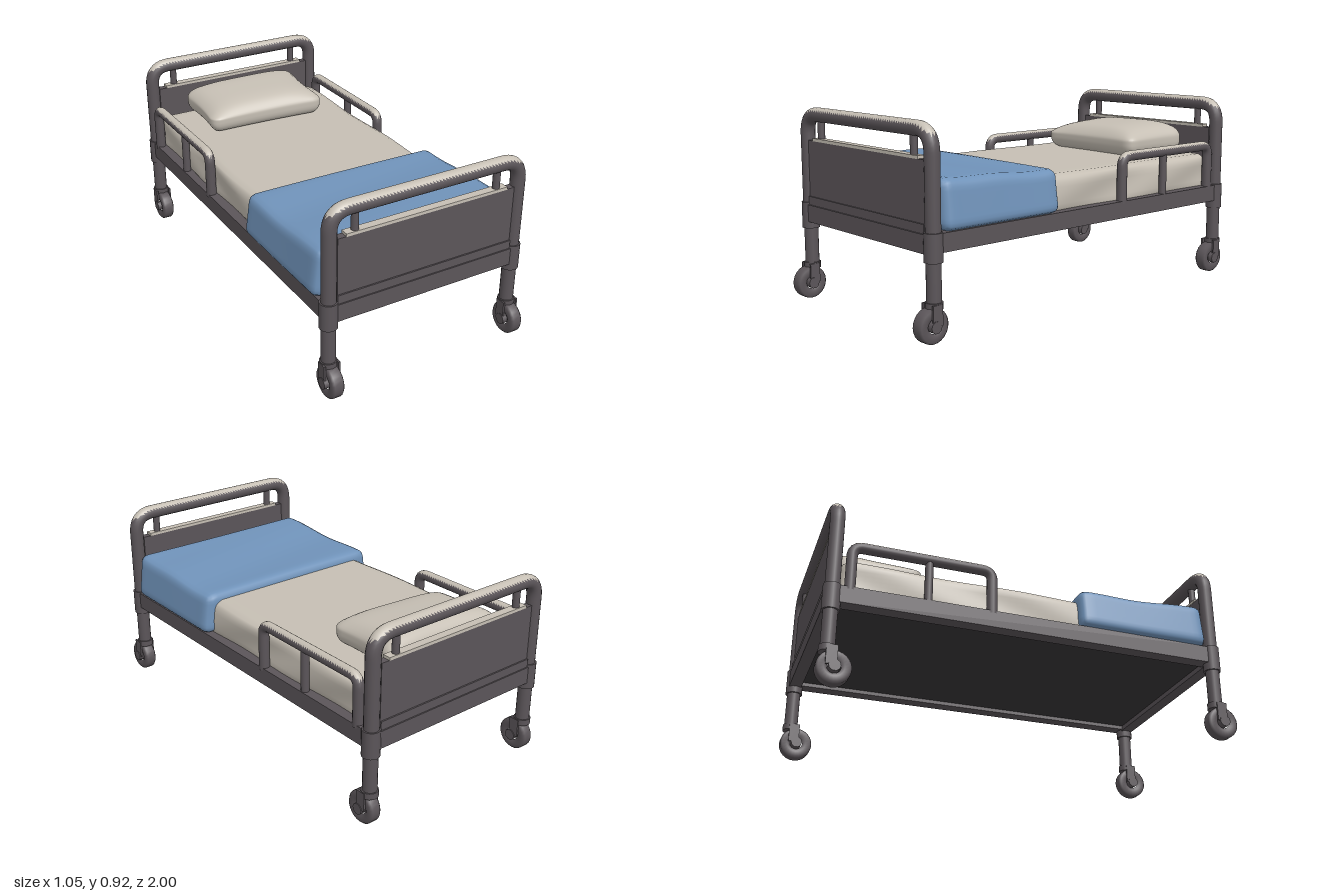
import * as THREE from 'three';
import { mergeVertices } from 'three/addons/utils/BufferGeometryUtils.js';

const mat = (name, color) => {
  const m = new THREE.MeshStandardMaterial({ color });
  m.name = name;
  return m;
};

// Rounded, evenly subdivided box whose vertices are then moved by a rule
function softBox(w, h, d, r, seg, rule) {
  let g = new THREE.BoxGeometry(w, h, d, ...seg);
  g.deleteAttribute('uv');
  g.deleteAttribute('normal');
  g = mergeVertices(g);
  const p = g.attributes.position, v = new THREE.Vector3();
  const lim = new THREE.Vector3(w / 2 - r, h / 2 - r, d / 2 - r), low = lim.clone().negate();
  for (let i = 0; i < p.count; i++) {
    v.fromBufferAttribute(p, i);
    const core = v.clone().clamp(low, lim);
    v.sub(core);
    if (v.lengthSq() > 0) v.setLength(r);
    v.add(core);
    rule(v);
    p.setXYZ(i, v.x, v.y, v.z);
  }
  g.clearGroups();
  g.computeVertexNormals();
  return g;
}

// Sort triangles into two material groups: upward-facing ones come second
function splitTop(g, threshold) {
  const n = g.attributes.normal, idx = g.index.array, side = [], top = [];
  for (let i = 0; i < idx.length; i += 3) {
    const t = [idx[i], idx[i + 1], idx[i + 2]];
    const up = t.reduce((s, k) => s + n.getY(k), 0) / 3;
    (up > threshold ? top : side).push(...t);
  }
  g.setIndex([...side, ...top]);
  g.clearGroups();
  g.addGroup(0, side.length, 0);
  g.addGroup(side.length, top.length, 1);
  return g;
}

// Upside-down U of tube; a and b are foot points, top is the centre height
function hoop(a, b, top, bend, r, segs) {
  const dir = b.clone().sub(a).normalize().multiplyScalar(bend);
  const up = (q, y) => new THREE.Vector3(q.x, y, q.z);
  const a1 = up(a, top - bend), a2 = up(a, top), a3 = a2.clone().add(dir);
  const b1 = up(b, top - bend), b2 = up(b, top), b3 = b2.clone().sub(dir);
  const path = new THREE.CurvePath();
  path.add(new THREE.LineCurve3(a, a1));
  path.add(new THREE.QuadraticBezierCurve3(a1, a2, a3));
  path.add(new THREE.LineCurve3(a3, b3));
  path.add(new THREE.QuadraticBezierCurve3(b3, b2, b1));
  path.add(new THREE.LineCurve3(b1, b));
  return splitTop(new THREE.TubeGeometry(path, segs, r, 16), 0.5);
}

export function createModel() {
  const bed = new THREE.Group();
  bed.name = 'hospitalBed';
  const frame = mat('dark grey frame', 0x5b5559);
  const under = mat('underside', 0x393638);
  const cream = mat('cream', 0xc6bfb4);
  const blue = mat('blue blanket', 0x7093ba);

  const add = (name, geo, material, x = 0, y = 0, z = 0, parent = bed) => {
    const m = new THREE.Mesh(geo, material);
    m.name = name;
    m.position.set(x, y, z);
    parent.add(m);
    return m;
  };
  const box = (w, h, d) => new THREE.BoxGeometry(w, h, d);
  const rod = (r, h, n = 16) => new THREE.CylinderGeometry(r, r, h, n);
  const V = (x, y, z) => new THREE.Vector3(x, y, z);

  // Wheel profile, turned about the axle
  const tyre = new THREE.LatheGeometry(
    [[0.03, -0.022], [0.045, -0.03], [0.068, -0.029], [0.077, -0.02], [0.077, 0.02],
      [0.068, 0.029], [0.045, 0.03], [0.03, 0.022]].map(([x, y]) => new THREE.Vector2(x, y)), 24);
  tyre.rotateZ(Math.PI / 2);
  const hub = rod(0.027, 0.088, 10).rotateZ(Math.PI / 2);

  // Head and foot ends
  for (const [end, z, wheelZ] of [['foot', 0.904, 0.923], ['head', -0.953, -0.923]]) {
    const g = new THREE.Group();
    g.name = end + 'End';
    bed.add(g);
    add('endRail', hoop(V(-0.481, 0.44, z), V(0.481, 0.44, z), 0.886, 0.095, 0.034, 110),
      [frame, cream], 0, 0, 0, g);
    add('endPanel', box(0.9, 0.27, 0.036), frame, 0, 0.628, z, g);
    add('panelTopEdge', box(0.82, 0.014, 0.04), cream, 0, 0.769, z, g);
    add('panelSill', box(0.9, 0.04, 0.05), frame, 0, 0.478, z, g);
    add('endBeam', box(0.92, 0.082, 0.06), frame, 0, 0.416, z, g);
    for (const s of [-1, 1]) {
      const x = s * 0.481;
      add('railSupport', rod(0.017, 0.1), frame, s * 0.36, 0.815, z, g);
      add('legCollar', rod(0.041, 0.125), frame, x, 0.405, z, g);
      add('leg', rod(0.033, 0.22), frame, x, 0.255, z, g);
      add('casterCap', rod(0.039, 0.03), frame, x, 0.16, z, g);
      add('casterWheel', tyre, frame, x, 0.077, wheelZ, g);
      add('casterHub', hub, frame, x, 0.077, wheelZ, g);
      for (const t of [-1, 1])
        add('casterFork', box(0.009, 0.09, 0.05), frame, x + t * 0.036, 0.125, (z + wheelZ) / 2, g);
    }
  }

  // Side beams, guard rails and base plate
  for (const s of [-1, 1]) {
    add('sideBeam', box(0.065, 0.082, 1.82), frame, s * 0.475, 0.422, -0.025);
    add('guardRail', hoop(V(s * 0.487, 0.45, -0.225), V(s * 0.487, 0.45, -0.878), 0.675, 0.05, 0.025, 70),
      [frame, cream]);
    add('guardPost', rod(0.019, 0.22), frame, s * 0.487, 0.56, -0.525);
  }
  add('basePlate', box(0.9, 0.03, 1.82), under, 0, 0.415, -0.025);

  // Mattress with slightly slack sides
  add('mattress', softBox(0.93, 0.195, 1.78, 0.045, [24, 10, 50], (v) => {
    if (Math.abs(v.x) > 0.42) v.x += Math.sign(v.x) * 0.006 * Math.sin(v.z * 9 + v.y * 25);
  }), cream, 0, 0.53, -0.025);

  // Pillow, domed towards the head and thinner at its rim
  const pillow = add('pillow', softBox(0.65, 0.15, 0.41, 0.06, [30, 10, 22], (v) => {
    const u = v.x / 0.325, w = v.z / 0.205;
    if (v.y > 0) v.y *= 0.45 + 0.65 * (1 - u ** 4) * (1 - 0.75 * w ** 4) - 0.18 * w + 0.08 * u;
    v.x *= 1 - 0.05 * (1 - w * w);
    v.z *= 1 - 0.05 * (1 - u * u);
  }), cream, -0.005, 0.7, -0.7);
  pillow.rotation.y = -0.045;

  // Blanket draped over the foot half, flaring to its hem
  add('blanket', softBox(1.02, 0.215, 0.655, 0.04, [32, 12, 26], (v) => {
    const t = (v.y + 0.1075) / 0.215, f = (v.z + 0.3275) / 0.655;
    v.x *= 1.035 - 0.055 * t;
    const soft = Math.sin(v.z * 14 + v.x * 2.5) * 0.004;
    v.y += t * (0.027 * f * f - 0.013 + soft);
    if (v.y < -0.03) v.z *= 1 + 0.01 * (0.5 - t);
  }), blue, -0.003, 0.569, 0.5375);

  return bed;
}
